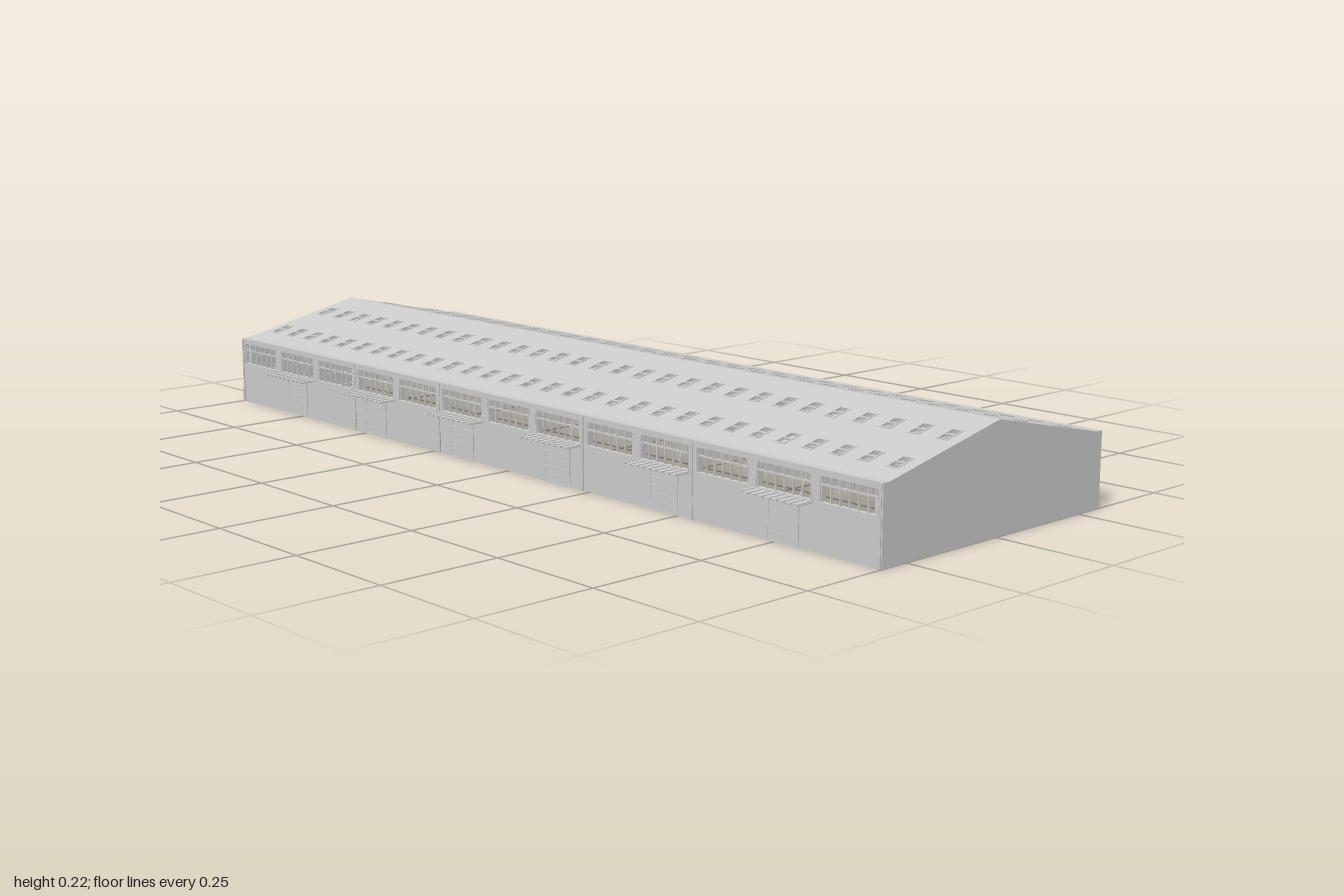
import * as THREE from 'three';

const mat = new THREE.MeshStandardMaterial({ color: 0xcccccc, flatShading: true });
const BAY = 2 / 13;                    // spacing of the structural grid
const EAVE = 0.152, RIDGE = 0.218, EAVE_X = 0.3, WALL_X = 0.315;
const PITCH = Math.atan2(RIDGE - EAVE, EAVE_X);
const SLOPE = Math.hypot(RIDGE - EAVE, EAVE_X);
const ROWS = 30, LIGHTS = [0.096, 0.233];   // skylight rows and places down the slope

function add(parent, name, geo) {
  const m = new THREE.Mesh(geo, mat);
  m.name = name;
  parent.add(m);
  return m;
}

// box given by its min and max corners
function box(parent, name, x0, x1, y0, y1, z0, z1) {
  const m = add(parent, name, new THREE.BoxGeometry(x1 - x0, y1 - y0, z1 - z0));
  m.position.set((x0 + x1) / 2, (y0 + y1) / 2, (z0 + z1) / 2);
  return m;
}

function rod(parent, name, a, b, r) {
  const p = new THREE.Vector3(...a), d = new THREE.Vector3(...b).sub(p);
  const m = add(parent, name, new THREE.CylinderGeometry(r, r, d.length(), 8));
  m.position.copy(p).addScaledVector(d, 0.5);
  m.quaternion.setFromUnitVectors(new THREE.Vector3(0, 1, 0), d.normalize());
}

const poly = (pts) => new THREE.Shape(pts.map((p) => new THREE.Vector2(...p)));
const rect = (x0, x1, y0, y1) => [[x0, y0], [x1, y0], [x1, y1], [x0, y1]];
const cut = (shape, r) => shape.holes.push(new THREE.Path(rect(...r).map((p) => new THREE.Vector2(...p))));
const extrude = (shape, depth) => new THREE.ExtrudeGeometry(shape, { depth, bevelEnabled: false });
const roofY = (x) => RIDGE - x * Math.tan(PITCH);

// one roof slope, laid flat (x down the slope, z along the hall), then pitched
function roofSlope() {
  const g = new THREE.Group();
  g.name = 'roofSlope';
  g.position.y = RIDGE;
  g.rotation.z = -PITCH;
  const panes = (u, z) => [[u - 0.021, u - 0.002, z - 0.01, z + 0.01], [u + 0.002, u + 0.021, z - 0.01, z + 0.01]];
  const sheet = poly(rect(0, SLOPE, -0.995, 0.995));
  const frame = poly(rect(-0.024, 0.024, -0.013, 0.013));
  panes(0, 0).forEach((p) => cut(frame, p));
  const frameGeo = extrude(frame, 0.004).rotateX(Math.PI / 2);
  for (const u of LIGHTS) {
    for (let i = 0; i < ROWS; i++) {
      const z = (i - (ROWS - 1) / 2) * 0.0664;
      panes(u, z).forEach((p) => cut(sheet, p));
      add(g, 'skylightFrame', frameGeo).position.set(u, 0.0015, z);
    }
  }
  add(g, 'roofSheet', extrude(sheet, 0.003).rotateX(Math.PI / 2));
  // purlins, left out where the skylights are
  for (let u = 0.008; u < SLOPE - 0.005; u += 0.0125) {
    if (LIGHTS.every((c) => Math.abs(u - c) > 0.024)) {
      box(g, 'purlin', u - 0.002, u + 0.002, -0.008, -0.003, -0.99, 0.99);
    }
  }
  return g;
}

// half of a portal frame: column, haunch and rafter
function portalFrame(z) {
  const s = poly([[0.292, 0], [0.308, 0], [0.308, 0.148], [0.298, roofY(0.298) - 0.004], [0, RIDGE - 0.008],
    [0, RIDGE - 0.022], [0.2, roofY(0.2) - 0.022], [0.292, 0.12]]);
  const m = new THREE.Mesh(extrude(s, 0.008), mat);
  m.name = 'portalFrame';
  m.position.z = z - 0.004;
  return m;
}

function sideWall() {
  const g = new THREE.Group();
  g.name = 'sideWall';
  const wall = poly(rect(-0.995, 0.995, 0, 0.147));
  for (let i = -6; i <= 6; i++) {
    const z = i * BAY, half = 0.067;
    cut(wall, [-z - half, -z + half, 0.093, 0.14]);
    // window bars
    for (let k = -3; k <= 3; k++) {
      const m = z + k * 0.0215;
      box(g, 'mullion', 0.309, 0.314, 0.093, 0.14, m - 0.001, m + 0.001);
    }
    for (let k = -6; k < 6; k++) {
      const m = z + (k + 0.5) * 0.01075;
      box(g, 'upperMullion', 0.31, 0.313, 0.125, 0.14, m - 0.0006, m + 0.0006);
    }
    box(g, 'transom', 0.309, 0.314, 0.123, 0.126, z - half, z + half);
    box(g, 'windowSill', 0.307, 0.317, 0.091, 0.093, z - half, z + half);
  }
  const geo = extrude(wall, 0.007).rotateY(Math.PI / 2);
  add(g, 'wallPanel', geo).position.x = 0.308;
  return g;
}

function gateWithCanopy(z) {
  const g = new THREE.Group();
  g.name = 'gateWithCanopy';
  g.position.z = z;
  // sectional gate
  box(g, 'gateLeaf', 0.306, 0.316, 0, 0.08, -0.036, 0.036);
  for (let k = 0; k <= 5; k++) {
    box(g, 'gateRail', 0.304, 0.317, k * 0.0157, k * 0.0157 + 0.003, -0.038, 0.038);
  }
  for (const s of [-1, 1]) box(g, 'gateJamb', 0.304, 0.317, 0, 0.083, s * 0.037 - 0.002, s * 0.037 + 0.002);
  // ribbed canopy hung from tie rods
  box(g, 'canopyPlate', 0.314, 0.351, 0.0885, 0.09, -0.073, 0.073);
  for (let k = 0; k < 9; k++) {
    const m = (k - 4) * 0.0172;
    box(g, 'canopyRib', 0.314, 0.355, 0.0875, 0.0918, m - 0.0025, m + 0.0025);
  }
  for (const s of [-1, 1]) rod(g, 'tieRod', [0.342, 0.091, s * 0.06], [0.317, 0.149, s * 0.06], 0.0008);
  return g;
}

function gable() {
  const g = new THREE.Group();
  g.name = 'gableWall';
  const s = poly([[-WALL_X, 0], [WALL_X, 0], [WALL_X, EAVE], [EAVE_X, EAVE], [0, RIDGE], [-EAVE_X, EAVE], [-WALL_X, EAVE]]);
  add(g, 'gablePanel', extrude(s, 0.005)).position.z = 0.995;
  // inner girts and posts
  for (const y of [0.004, 0.035, 0.07, 0.105, 0.14]) box(g, 'girt', -0.3, 0.3, y - 0.002, y + 0.002, 0.989, 0.995);
  for (const x of [-0.2, -0.1, 0, 0.1, 0.2]) {
    box(g, 'gablePost', x - 0.003, x + 0.003, 0, roofY(Math.abs(x)) - 0.008, 0.985, 0.995);
  }
  return g;
}

// one long side with its roof slope and one gable
function hallHalf() {
  const g = new THREE.Group();
  g.add(roofSlope(), sideWall(), gable());
  for (let i = -13; i <= 13; i += 2) g.add(portalFrame(THREE.MathUtils.clamp(i / 13, -0.98, 0.98)));
  for (const i of [-10, -6, -2, 2, 6, 10]) g.add(gateWithCanopy(i / 13));
  box(g, 'gutter', 0.297, WALL_X, 0.146, EAVE, -0.995, 0.995);
  box(g, 'eaveBeam', 0.3, 0.308, 0.138, 0.146, -0.99, 0.99);
  // downpipes with wider feet
  for (const i of [-13, -7, -3, 3, 7, 13]) {
    const z = THREE.MathUtils.clamp(i / 13, -0.996, 0.996);
    rod(g, 'downpipe', [0.317, 0.025, z], [0.317, 0.15, z], 0.0022);
    rod(g, 'downpipeFoot', [0.3175, 0, z], [0.3175, 0.028, z], 0.0035);
  }
  return g;
}

export function createModel() {
  const model = new THREE.Group();
  model.name = 'industrialHall';
  const left = hallHalf(), right = hallHalf();
  left.name = 'leftHalf';
  right.name = 'rightHalf';
  right.rotation.y = Math.PI;
  model.add(left, right);
  return model;
}
